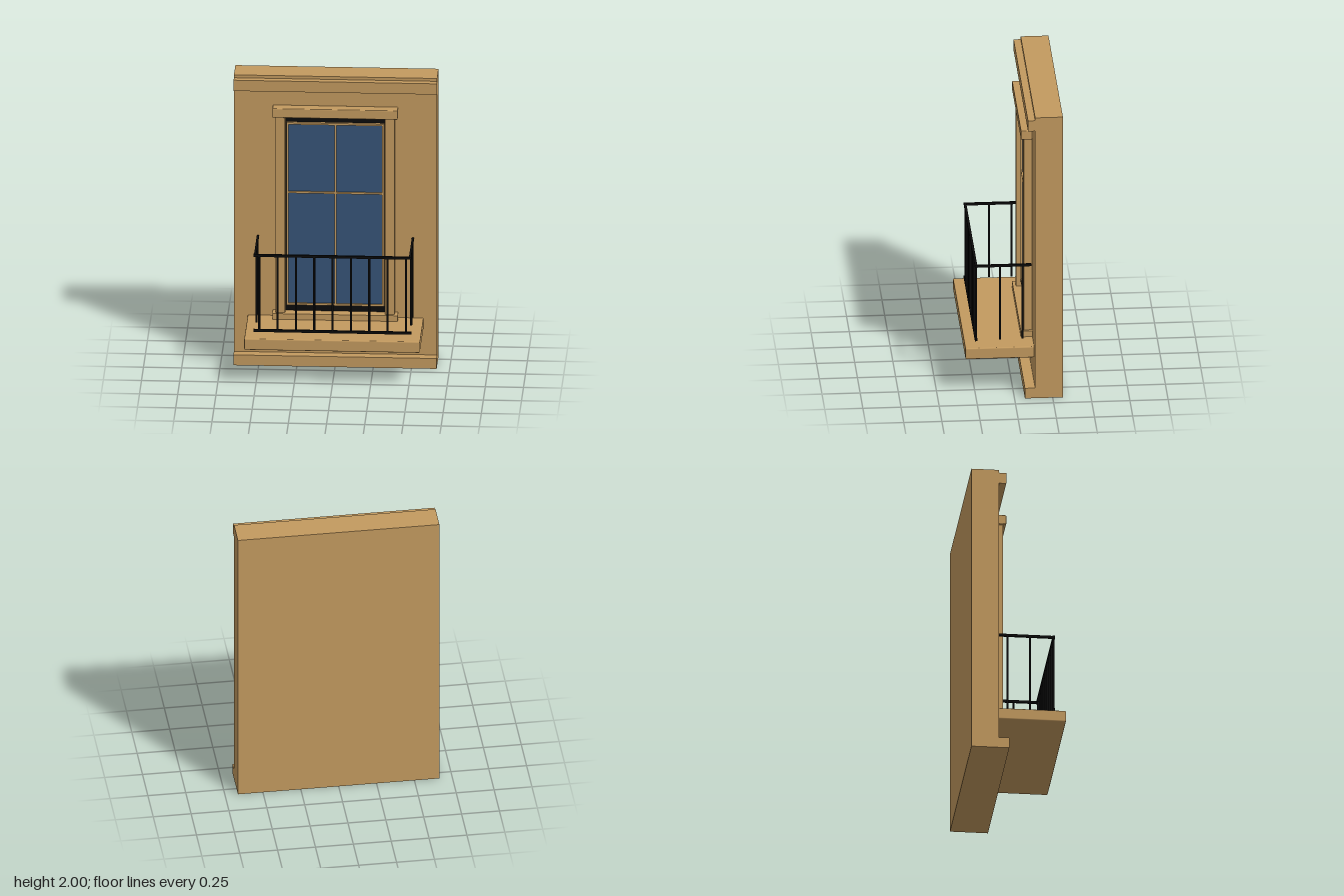
import * as THREE from 'three';
import { RoundedBoxGeometry } from 'three/addons/geometries/RoundedBoxGeometry.js';

const material = (name, color) => {
  const m = new THREE.MeshStandardMaterial({ color });
  m.name = name;
  return m;
};

export function createModel() {
  const stone = material('sandstone', 0xc39a5f);
  const iron = material('black iron', 0x0b0b0b);
  const glass = material('blue glass', 0x365478);

  const group = new THREE.Group();
  group.name = 'balconyWindow';

  // Box from its limits on each axis, optionally with rounded edges
  const box = (name, mat, [x0, x1], [y0, y1], [z0, z1], radius = 0) => {
    const size = [x1 - x0, y1 - y0, z1 - z0];
    const geometry = radius
      ? new RoundedBoxGeometry(...size, 2, radius)
      : new THREE.BoxGeometry(...size);
    const mesh = new THREE.Mesh(geometry, mat);
    mesh.name = name;
    mesh.position.set((x0 + x1) / 2, (y0 + y1) / 2, (z0 + z1) / 2);
    group.add(mesh);
  };
  // Bar centred on a point
  const bar = (name, mat, [x, y, z], [w, h, d]) =>
    box(name, mat, [x - w / 2, x + w / 2], [y - h / 2, y + h / 2], [z - d / 2, z + d / 2]);

  // Wall with its horizontal bands
  const face = -0.135;
  box('wall', stone, [-0.665, 0.665], [0, 2], [-0.317, face]);
  box('cornice', stone, [-0.665, 0.665], [1.905, 1.98], [face, -0.088]);
  box('plinth', stone, [-0.665, 0.665], [0, 0.072], [face, -0.068]);

  // Stone surround
  box('lintel', stone, [-0.41, 0.41], [1.733, 1.797], [face, -0.06], 0.006);
  box('windowSill', stone, [-0.41, 0.41], [0.325, 0.368], [face, -0.06]);
  for (const s of [-1, 1]) {
    bar('jamb', stone, [s * 0.358, 1.05, -0.1075], [0.062, 1.37, 0.055]);
  }

  // Dark reveal and glazing
  box('darkReveal', iron, [-0.33, 0.33], [0.36, 1.735], [face, -0.129]);
  box('glassPane', glass, [-0.31, 0.31], [0.425, 1.675], [-0.129, -0.121]);
  for (const s of [-1, 1]) {
    bar('frameStile', stone, [s * 0.313, 1.0475, -0.119], [0.014, 1.271, 0.02]);
    bar('frameRail', stone, [0, 1.0475 + s * 0.629, -0.119], [0.626, 0.013, 0.02]);
  }
  bar('verticalMuntin', stone, [0, 1.0475, -0.119], [0.014, 1.25, 0.016]);
  bar('horizontalMuntin', stone, [0, 1.197, -0.119], [0.62, 0.012, 0.016]);

  // Balcony slab
  box('balconySlab', stone, [-0.575, 0.575], [0.25, 0.328], [face - 0.01, 0.315], 0.008);

  // Front railing
  const front = 0.241;
  bar('topRail', iron, [0, 0.884, front], [1.034, 0.016, 0.016]);
  bar('bottomRail', iron, [0, 0.361, front], [1.034, 0.016, 0.016]);
  for (let i = -4; i <= 4; i++) {
    bar('baluster', iron, [i * 0.12, 0.622, front], [0.013, 0.524, 0.012]);
  }

  // Side railings
  for (const s of [-1, 1]) {
    bar('sideRail', iron, [s * 0.507, 0.884, 0.062], [0.014, 0.016, 0.365]);
    for (const z of [0.085, -0.063]) {
      bar('sideBaluster', iron, [s * 0.507, 0.622, z], [0.013, 0.524, 0.012]);
    }
  }

  return group;
}
